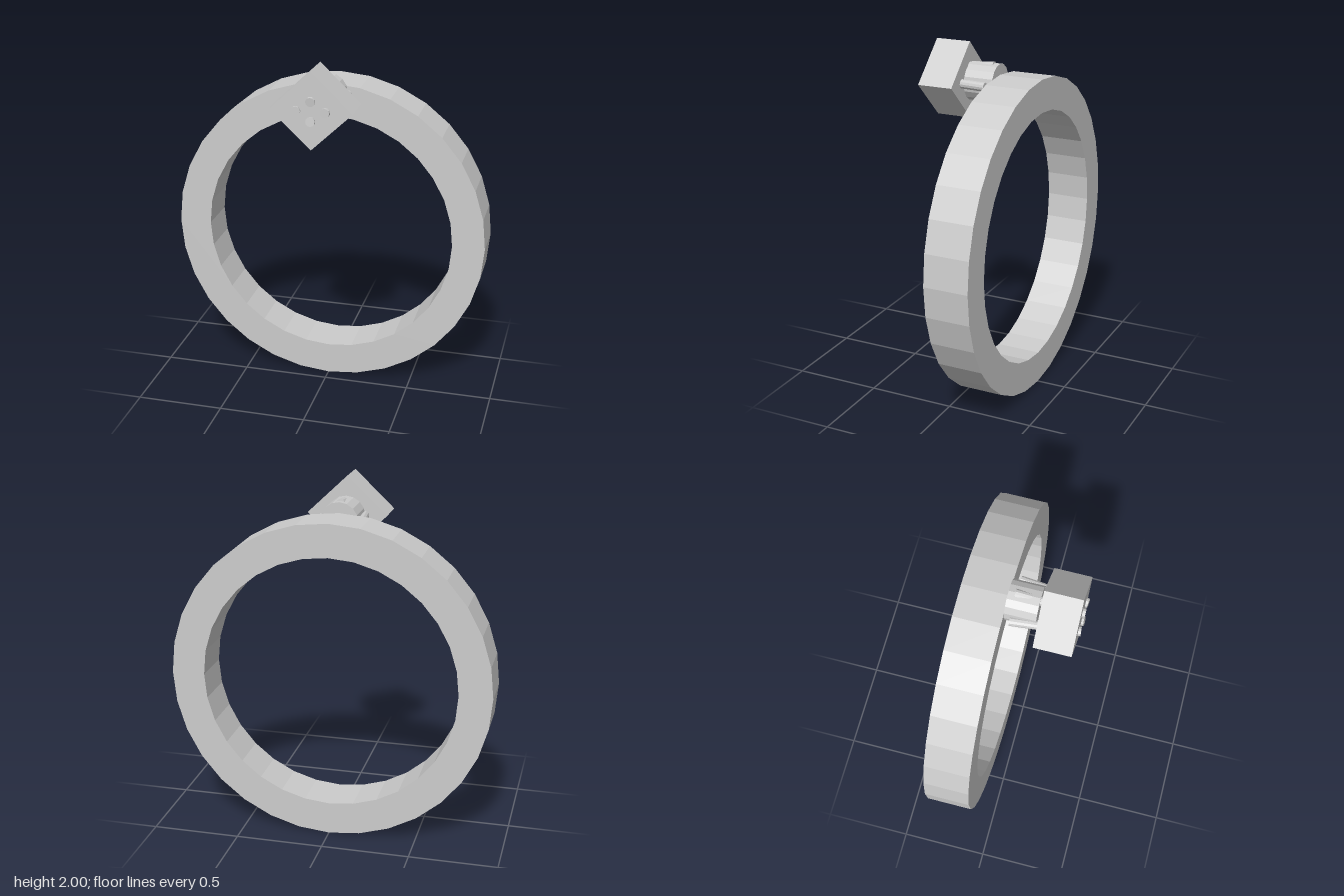
import * as THREE from 'three';

const material = new THREE.MeshStandardMaterial({ color: 0xcccccc, flatShading: true });

function addMesh(parent, name, geometry) {
  const mesh = new THREE.Mesh(geometry, material);
  mesh.name = name;
  parent.add(mesh);
  return mesh;
}

// Points of a regular polygon with a vertex on the x axis
function polygon(radius, sides) {
  return Array.from({ length: sides }, (_, i) => {
    const a = (i / sides) * Math.PI * 2;
    return new THREE.Vector2(radius * Math.cos(a), radius * Math.sin(a));
  });
}

// Straight round bar between two points
function addBar(parent, name, from, to, radius) {
  const axis = to.clone().sub(from);
  const bar = addMesh(parent, name, new THREE.CylinderGeometry(radius, radius, axis.length(), 12));
  bar.position.copy(from).add(to).multiplyScalar(0.5);
  bar.quaternion.setFromUnitVectors(new THREE.Vector3(0, 1, 0), axis.normalize());
}

export function createModel() {
  const model = new THREE.Group();
  model.name = 'ring';

  // Faceted flat band
  const bandShape = new THREE.Shape(polygon(0.915, 32));
  bandShape.holes.push(new THREE.Path(polygon(0.727, 32)));
  const band = addMesh(model, 'band',
    new THREE.ExtrudeGeometry(bandShape, { depth: 0.255, bevelEnabled: false }));
  band.position.set(0, 0.915, -0.33);

  // Setting in front of the top of the band
  const setting = new THREE.Group();
  setting.name = 'setting';
  setting.position.y = 1.782;
  model.add(setting);

  // Round collar joining the setting to the band
  const collar = addMesh(setting, 'collar', new THREE.CylinderGeometry(0.109, 0.109, 0.17, 16));
  collar.rotation.x = Math.PI / 2;
  collar.position.z = 0.009;

  // Diamond-shaped stone block
  const stoneShape = new THREE.Shape([
    new THREE.Vector2(0.229, 0), new THREE.Vector2(0, 0.218),
    new THREE.Vector2(-0.229, 0), new THREE.Vector2(0, -0.218),
  ]);
  const stone = addMesh(setting, 'stone',
    new THREE.ExtrudeGeometry(stoneShape, { depth: 0.205, bevelEnabled: false }));
  stone.position.z = 0.109;

  // Four prongs leaning outward toward the band and passing through the stone
  for (const [x, y] of [[1, 0], [-1, 0], [0, 1], [0, -1]]) {
    const back = new THREE.Vector3(x * 0.117, y * 0.093, -0.042);
    const front = new THREE.Vector3(x * 0.08, y * 0.054, 0.328);
    addBar(setting, 'prong', back, front, 0.026);
  }

  return model;
}
